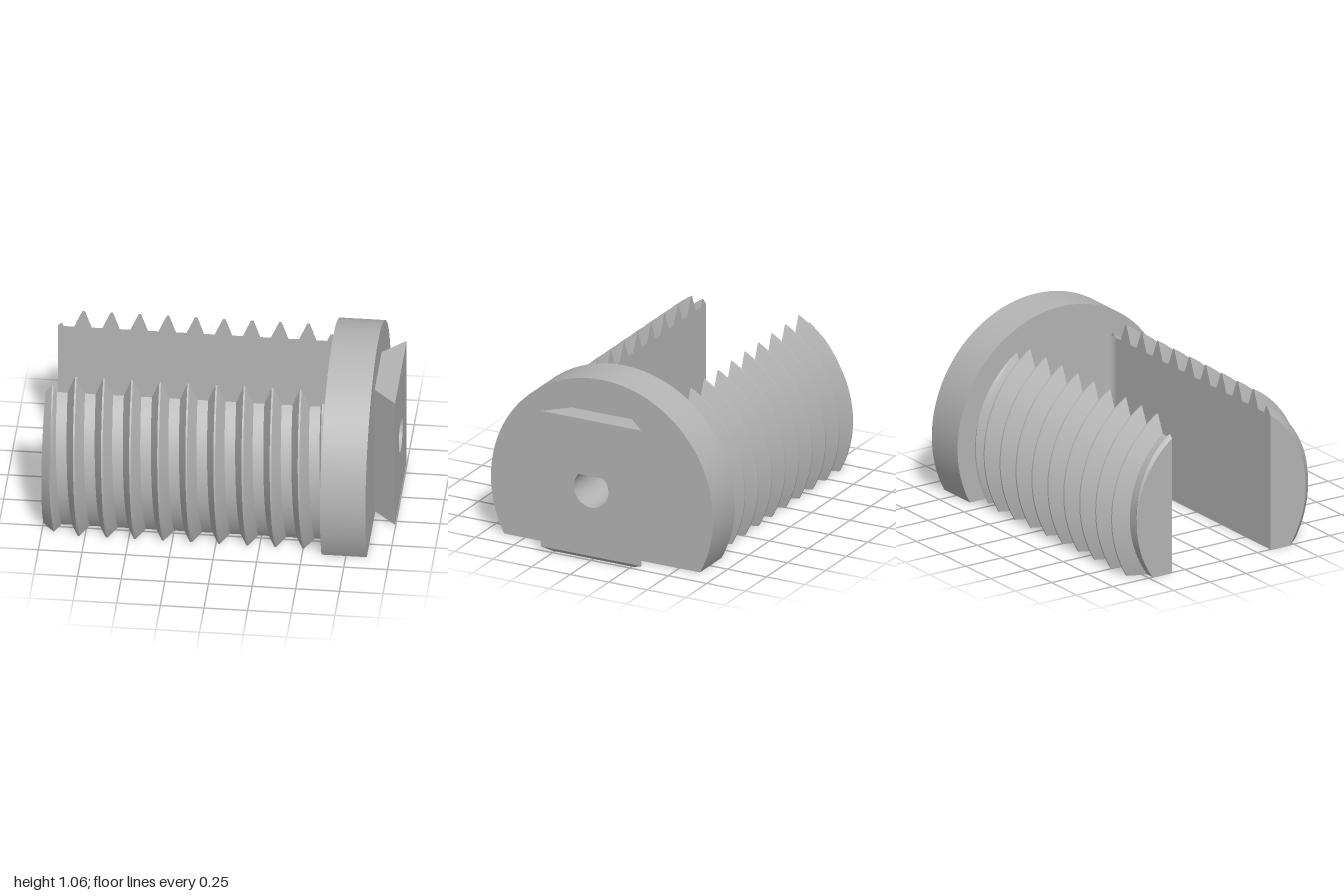
import * as THREE from 'three';
import { toCreasedNormals } from 'three/addons/utils/BufferGeometryUtils.js';

const AXIS = 0.34;               // height of the bolt axis
const ROOT = 0.583, CREST = 0.675, PITCH = 0.161;
const X0 = -1, X1 = 0.61;        // threaded length
const INNER = 0.34;              // inner face of each leg
const clamp = THREE.MathUtils.clamp, lerp = THREE.MathUtils.lerp;

// Teardrop hole through head and key
function teardrop() {
  const p = new THREE.Path();
  p.moveTo(0, 0.435 + 0.112 * Math.SQRT2);
  p.absarc(0, 0.435, 0.112, Math.PI * 0.75, Math.PI * 2.25, false);
  p.closePath();
  return p;
}

// Thread profile rows: offset along the axis and radius
function threadRows() {
  const rows = [], steps = 5;
  for (let n = -3; n <= 12; n++) {
    const crest = -0.80 + n * PITCH;
    for (let k = 0; k <= steps; k++)
      rows.push([crest + lerp(-0.05, -0.005, k / steps), lerp(ROOT, CREST, k / steps)]);
    for (let k = 0; k <= steps; k++)
      rows.push([crest + lerp(0.005, 0.05, k / steps), lerp(CREST, ROOT, k / steps)]);
  }
  return rows;
}

// One threaded leg: helical cross-sections trimmed by the inner and bottom planes
function legGeometry(side) {
  const N = 36;
  const sections = threadRows().map(([base, rowR]) => {
    const loop = [];
    for (let j = 0; j <= N; j++) {
      let r = rowR, x = base, a = 0;
      for (let it = 0; it < 5; it++) {
        a = lerp(-Math.asin(AXIS / r), Math.acos(INNER / r), j / N);
        const turn = side > 0 ? a : Math.PI - a;
        x = clamp(base - PITCH * turn / (2 * Math.PI), X0, X1);
        // thread runs out at 45 degrees at both ends
        r = Math.min(rowR, ROOT + x - X0, ROOT + X1 - x);
      }
      loop.push(new THREE.Vector3(x, AXIS + r * Math.sin(a), side * r * Math.cos(a)));
    }
    loop.push(new THREE.Vector3((loop[0].x + loop[N].x) / 2, 0, side * INNER));
    return loop;
  });

  const pos = [];
  const tri = (a, b, c) => {
    if (new THREE.Triangle(a, b, c).getArea() < 1e-8) return;
    for (const v of side > 0 ? [a, b, c] : [a, c, b]) pos.push(v.x, v.y, v.z);
  };
  const M = N + 2;
  for (let i = 0; i < sections.length - 1; i++) {
    const s = sections[i], t = sections[i + 1];
    for (let j = 0; j < M; j++) {
      const k = (j + 1) % M;
      tri(s[j], t[j], t[k]);
      tri(s[j], t[k], s[k]);
    }
  }
  // end caps
  const first = sections[0], last = sections[sections.length - 1];
  for (let j = 0; j < N; j++) {
    tri(first[N + 1], first[j], first[j + 1]);
    tri(last[N + 1], last[j + 1], last[j]);
  }
  const g = new THREE.BufferGeometry();
  g.setAttribute('position', new THREE.Float32BufferAttribute(pos, 3));
  return toCreasedNormals(g, 0.4);
}

// Rounded inner corner between leg and head
function filletGeometry(side) {
  const R = 0.05, s = new THREE.Shape();
  s.moveTo(X1 - R, INNER);
  s.lineTo(X1, INNER);
  s.lineTo(X1, INNER - R);
  s.absarc(X1 - R, INNER - R, R, 0, Math.PI / 2, false);
  const g = new THREE.ExtrudeGeometry(s, { depth: 0.8, bevelEnabled: false, curveSegments: 10 });
  const p = g.attributes.position;
  for (let i = 0; i < p.count; i++)
    if (p.getZ(i) > 0.1) p.setZ(i, AXIS + Math.sqrt(ROOT ** 2 - p.getY(i) ** 2));
  g.rotateX(-Math.PI / 2);
  if (side > 0) {
    g.rotateY(Math.PI);          // half turn plus mirror in x keeps the fillet at the head
    g.scale(-1, 1, 1);
    const flip = g.attributes.position;
    for (let i = 0; i < flip.count; i += 3) {
      const a = new THREE.Vector3().fromBufferAttribute(flip, i + 1);
      const b = new THREE.Vector3().fromBufferAttribute(flip, i + 2);
      flip.setXYZ(i + 1, b.x, b.y, b.z);
      flip.setXYZ(i + 2, a.x, a.y, a.z);
    }
  }
  return toCreasedNormals(g, 0.5);
}

// Round head with flat underside
function headGeometry() {
  const R = 0.72, a = Math.asin(AXIS / R), s = new THREE.Shape();
  s.absarc(0, AXIS, R, -a, Math.PI + a, false);
  s.closePath();
  s.holes.push(teardrop());
  const g = new THREE.ExtrudeGeometry(s, { depth: 0.26, bevelEnabled: false, curveSegments: 72 });
  g.rotateY(Math.PI / 2).translate(X1, 0, 0);
  return toCreasedNormals(g, 0.5);
}

// Dovetail key: a square plate narrowing toward the head
function keyGeometry() {
  const s = new THREE.Shape();
  s.moveTo(-0.325, 0.025);
  s.lineTo(0.325, 0.025);
  s.lineTo(0.325, 0.855);
  s.lineTo(-0.325, 0.855);
  s.closePath();
  s.holes.push(teardrop());
  const g = new THREE.ExtrudeGeometry(s, { depth: 0.13, bevelEnabled: false, curveSegments: 72 });
  const p = g.attributes.position;
  for (let i = 0; i < p.count; i++)
    if (Math.abs(p.getX(i)) > 0.2) p.setX(i, Math.sign(p.getX(i)) * (0.195 + p.getZ(i)));
  g.rotateY(Math.PI / 2).translate(0.87, 0, 0);
  return toCreasedNormals(g, 0.5);
}

// Chamfered foot under the key
function keyFootGeometry() {
  const g = new THREE.BoxGeometry(1, 1, 1).toNonIndexed();
  const p = g.attributes.position;
  for (let i = 0; i < p.count; i++) {
    const top = p.getY(i) > 0, out = p.getX(i) > 0;
    const x = out ? (top ? 1 : 0.975) : (top ? 0.87 : 0.895);
    const w = 0.195 + (x - 0.87) - (top ? 0 : 0.035);
    p.setXYZ(i, x, top ? 0.025 : 0, Math.sign(p.getZ(i)) * w);
  }
  g.computeVertexNormals();
  return g;
}

export function createModel() {
  const group = new THREE.Group();
  const grey = new THREE.MeshStandardMaterial({ color: 0xb4b4b4 });
  grey.name = 'plain grey';
  const add = (name, geometry) => {
    const mesh = new THREE.Mesh(geometry, grey);
    mesh.name = name;
    group.add(mesh);
  };

  add('head', headGeometry());
  add('dovetailKey', keyGeometry());
  add('keyFoot', keyFootGeometry());
  for (const side of [1, -1]) {
    const label = side > 0 ? 'front' : 'back';
    add(label + 'ThreadedLeg', legGeometry(side));
    add(label + 'Fillet', filletGeometry(side));
  }
  return group;
}
